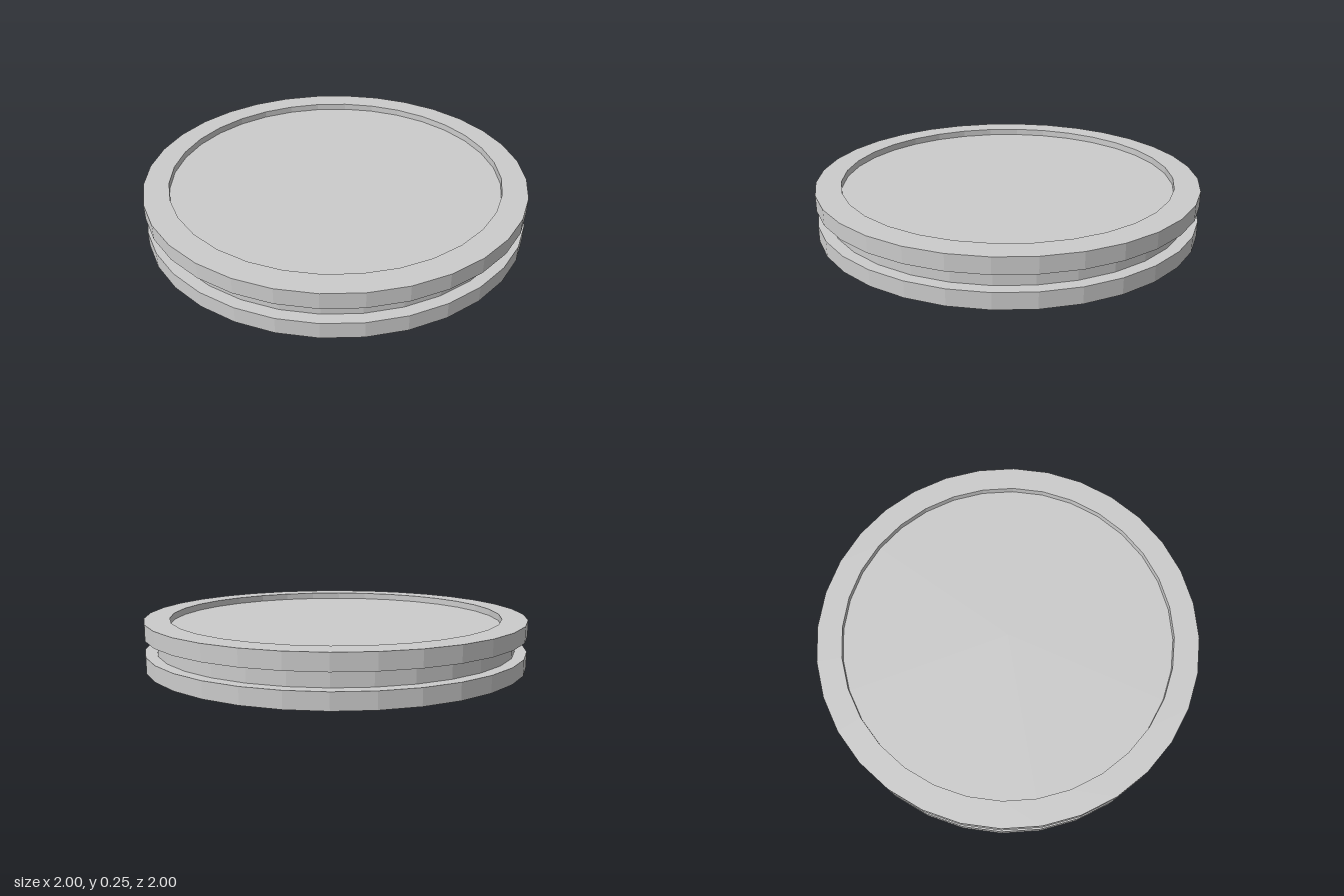
import * as THREE from 'three';

const SIDES = 32;
const R_OUTER = 1, R_CORE = 0.94, R_INNER = 0.87;
const HEIGHT = 0.245, FLANGE = 0.082, RECESS = 0.035;

export function createModel() {
  const group = new THREE.Group();
  const material = new THREE.MeshStandardMaterial({ color: 0xcccccc, flatShading: true });

  // Turns a profile of [radius, height] points, listed counter-clockwise from the axis
  const turn = (name, profile) => {
    const points = profile.map(([r, y]) => new THREE.Vector2(r, y));
    const mesh = new THREE.Mesh(new THREE.LatheGeometry(points, SIDES), material);
    mesh.name = name;
    group.add(mesh);
  };

  // Round recessed panel, facing up or down
  const panel = (name, y, tilt) => {
    const mesh = new THREE.Mesh(new THREE.CircleGeometry(R_INNER, SIDES), material);
    mesh.name = name;
    mesh.rotation.x = tilt;
    mesh.position.y = y;
    group.add(mesh);
  };

  // Lower flange: recess wall, underside, outer edge and groove floor
  turn('lowerFlange', [
    [R_INNER, RECESS], [R_INNER, 0], [R_OUTER, 0], [R_OUTER, FLANGE], [R_CORE, FLANGE],
  ]);

  // Core wall inside the groove
  turn('grooveCore', [[R_CORE, FLANGE], [R_CORE, HEIGHT - FLANGE]]);

  // Upper flange, mirrored about the middle
  turn('upperFlange', [
    [R_CORE, HEIGHT - FLANGE], [R_OUTER, HEIGHT - FLANGE], [R_OUTER, HEIGHT],
    [R_INNER, HEIGHT], [R_INNER, HEIGHT - RECESS],
  ]);

  // Recessed faces
  panel('topPanel', HEIGHT - RECESS, -Math.PI / 2);
  panel('bottomPanel', RECESS, Math.PI / 2);

  return group;
}
